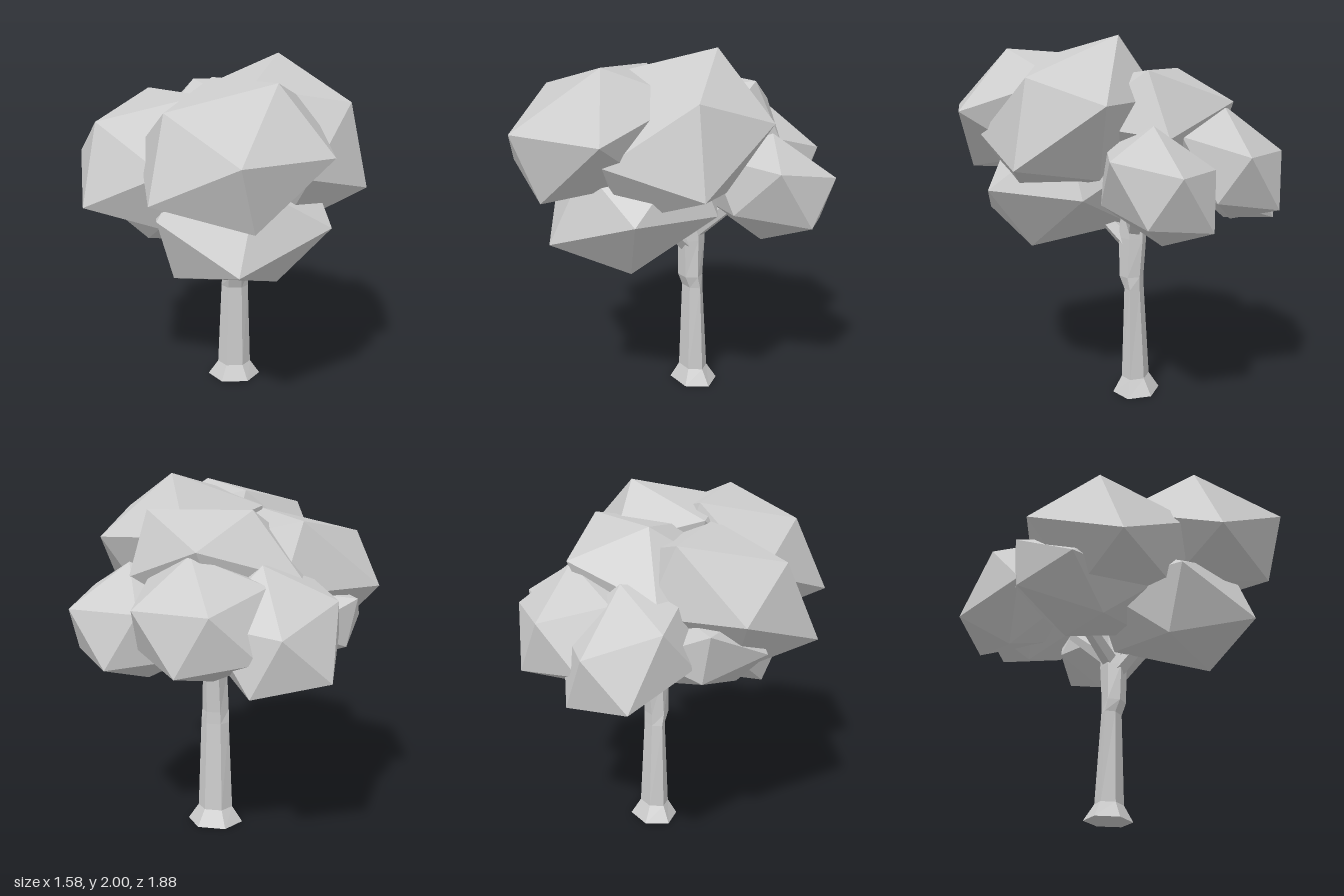
import * as THREE from 'three';

const V = (a) => new THREE.Vector3(...a);
const material = new THREE.MeshStandardMaterial({ color: 0xcccccc, flatShading: true });

function addMesh(group, name, geometry) {
  const mesh = new THREE.Mesh(geometry, material);
  mesh.name = name;
  group.add(mesh);
}

// Stretched icosahedron: its centre and the three corners of one face (counter-clockwise from outside)
function leafClump(center, corners) {
  const geometry = new THREE.IcosahedronGeometry(1, 0);
  const p = geometry.attributes.position;
  const from = [0, 1, 2].map((i) => new THREE.Vector3().fromBufferAttribute(p, i));
  const c = V(center);
  const to = corners.map((k) => V(k).sub(c));
  const m = new THREE.Matrix4().makeBasis(...to)
    .multiply(new THREE.Matrix4().makeBasis(...from).invert())
    .setPosition(c);
  geometry.applyMatrix4(m);
  geometry.computeVertexNormals();
  return geometry;
}

// Six-sided trunk lofted through rings of [y, centre x, centre z, radius x, radius z]
function loftTrunk(rings) {
  const sides = 6, pos = [], index = [];
  for (const [y, cx, cz, rx, rz] of rings) {
    for (let i = 0; i < sides; i++) {
      const a = (i / sides) * Math.PI * 2;
      pos.push(cx + rx * Math.cos(a), y, cz - rz * Math.sin(a));
    }
  }
  for (let r = 0; r < rings.length - 1; r++) {
    for (let i = 0; i < sides; i++) {
      const a = r * sides + i, b = r * sides + (i + 1) % sides;
      index.push(a, b, b + sides, a, b + sides, a + sides);
    }
  }
  // Flat caps under the root flare and over the hidden top
  const top = (rings.length - 1) * sides;
  for (let i = 1; i < sides - 1; i++) {
    index.push(0, i + 1, i, top, top + i, top + i + 1);
  }
  const geometry = new THREE.BufferGeometry();
  geometry.setAttribute('position', new THREE.Float32BufferAttribute(pos, 3));
  geometry.setIndex(index);
  const flat = geometry.toNonIndexed();
  flat.computeVertexNormals();
  return flat;
}

// Tapered limb between two points
function limb(start, end, r0, r1) {
  const a = V(start), dir = V(end).sub(a), length = dir.length();
  const geometry = new THREE.CylinderGeometry(r1, r0, length, 5);
  geometry.translate(0, length / 2, 0);
  geometry.applyQuaternion(
    new THREE.Quaternion().setFromUnitVectors(new THREE.Vector3(0, 1, 0), dir.normalize()));
  return geometry.translate(a.x, a.y, a.z);
}

export function createModel() {
  const tree = new THREE.Group();
  tree.name = 'tree';

  // Trunk with root flare
  addMesh(tree, 'trunk', loftTrunk([
    [0, 0.1, -0.16, 0.16, 0.13],
    [0.09, 0.1, -0.155, 0.1, 0.076],
    [0.61, 0.1, -0.145, 0.08, 0.052],
    [0.68, 0.1, -0.13, 0.077, 0.068],
    [0.9, 0.1, -0.135, 0.07, 0.08],
    [1.25, 0.1, -0.14, 0.055, 0.055],
  ]));

  // Branches reaching into the crown
  const branches = {
    frontBranch: [[0.1, 0.88, -0.1], [0.1, 1.12, 0.15]],
    backBranch: [[0.1, 0.95, -0.16], [0.08, 1.15, -0.4]],
    leftBranch: [[0.12, 0.95, -0.15], [0.4, 1.2, -0.25]],
    rightBranch: [[0.08, 0.93, -0.14], [-0.25, 1.15, -0.2]],
  };
  for (const [name, [a, b]] of Object.entries(branches)) {
    addMesh(tree, name, limb(a, b, 0.05, 0.035));
  }

  // Crown of faceted leaf clumps: centre, then one face
  const clumps = {
    frontLowerLeaves: [[0.098, 1.197, 0.246],
      [[0.08, 1.02, 0.75], [0.3, 0.855, 0.39], [0.56, 1.2, 0.52]]],
    frontUpperLeaves: [[0.055, 1.584, 0.448],
      [[0.075, 1.62, 0.94], [0.27, 1.935, 0.53], [-0.28, 1.8, 0.56]]],
    leftUpperLeaves: [[0.32, 1.58, 0.15],
      [[0.33, 2.0, -0.125], [0.68, 1.79, 0.237], [0.72, 1.66, -0.195]]],
    rightUpperLeaves: [[-0.297, 1.455, 0.041],
      [[-0.655, 1.68, 0.165], [-0.79, 1.44, -0.2], [-0.72, 1.26, 0.34]]],
    topBackLeaves: [[0.05, 1.528, -0.2],
      [[0.08, 1.66, -0.68], [-0.14, 1.83, -0.32], [0.42, 1.825, -0.31]]],
    backLeftLeaves: [[0.46, 1.245, -0.378],
      [[0.785, 1.09, -0.42], [0.56, 1.05, -0.69], [0.77, 1.34, -0.585]]],
    backMiddleLeaves: [[0.06, 1.33, -0.65],
      [[0.135, 1.105, -0.945], [-0.03, 1.4, -0.925], [0.365, 1.4, -0.83]]],
    backRightLeaves: [[-0.29, 1.27, -0.555],
      [[-0.36, 1.29, -0.86], [-0.21, 1.0, -0.87], [-0.59, 1.06, -0.745]]],
    rightLowerLeaves: [[-0.35, 1.2, -0.1],
      [[-0.635, 1.14, -0.345], [-0.22, 1.0, -0.28], [-0.4, 0.99, 0.06]]],
  };
  for (const [name, [center, face]] of Object.entries(clumps)) {
    addMesh(tree, name, leafClump(center, face));
  }
  return tree;
}
